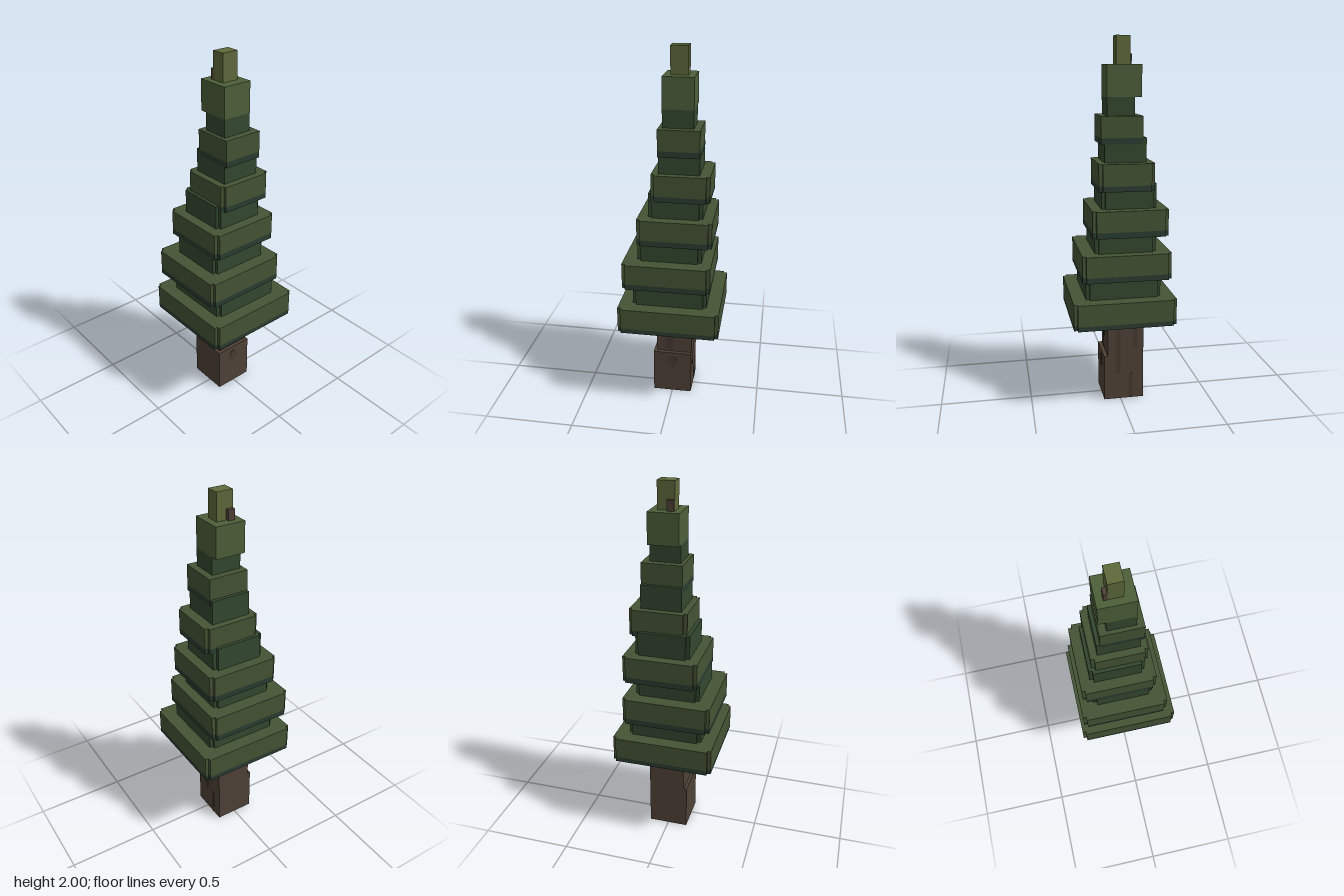
import * as THREE from 'three';

const mat = (color) => new THREE.MeshStandardMaterial({ color, flatShading: true, roughness: 1 });

export function createModel() {
  const tree = new THREE.Group();
  tree.name = 'blockyPineTree';

  const M = {
    needles: mat(0x455434), shade: mat(0x33482f), underside: mat(0x2a3c30),
    crown: mat(0x4d5f39), tip: mat(0x5e693b), bark: mat(0x4f4237), grain: mat(0x463a30),
  };

  const add = (parent, name, geometry, material) => {
    const mesh = new THREE.Mesh(geometry, material);
    mesh.name = name;
    parent.add(mesh);
    return mesh;
  };

  // Upright block given by its extents; n cuts a square notch from each corner
  const block = (parent, name, material, [x0, x1], [y0, y1], [z0, z1], n = 0) => {
    if (!n) {
      const g = new THREE.BoxGeometry(x1 - x0, y1 - y0, z1 - z0);
      g.translate((x0 + x1) / 2, (y0 + y1) / 2, (z0 + z1) / 2);
      return add(parent, name, g, material);
    }
    const b = -z1, t = -z0;
    const outline = [
      [x0 + n, b], [x1 - n, b], [x1 - n, b + n], [x1, b + n], [x1, t - n], [x1 - n, t - n],
      [x1 - n, t], [x0 + n, t], [x0 + n, t - n], [x0, t - n], [x0, b + n], [x0 + n, b + n],
    ].map(([x, y]) => new THREE.Vector2(x, y));
    const g = new THREE.ExtrudeGeometry(new THREE.Shape(outline), { depth: y1 - y0, bevelEnabled: false });
    g.rotateX(-Math.PI / 2).translate(0, y0, 0);
    return add(parent, name, g, material);
  };

  // Trunk: core with a stepped side and a wider foot
  const trunk = new THREE.Group();
  trunk.name = 'trunk';
  tree.add(trunk);
  block(trunk, 'trunkCore', M.bark, [-0.075, 0.109], [0.26, 0.486], [-0.11, 0.073]);
  block(trunk, 'trunkSide', M.bark, [-0.093, 0.11], [0.26, 0.465], [-0.13, 0.072]);
  block(trunk, 'trunkFoot', M.bark, [-0.11, 0.11], [0, 0.26], [-0.13, 0.093]);

  // Bark grain and a knot, laid just above the faces
  const e = 0.0015;
  block(trunk, 'grainFront', M.grain, [-0.04, 0], [0.27, 0.44], [0.07, 0.073 + e]);
  for (const [y0, y1, z0, z1] of [[0.15, 0.44, 0, 0.03], [0.3, 0.46, -0.095, -0.07], [0, 0.15, -0.068, -0.046]])
    block(trunk, 'grainSide', M.grain, [0.1, 0.11 + e], [y0, y1], [z0, z1]);
  const knot = add(trunk, 'knot', new THREE.CylinderGeometry(0.03, 0.03, 0.004, 8), M.grain);
  knot.rotation.x = Math.PI / 2;
  knot.scale.z = 1.25;
  knot.position.set(0, 0.2, 0.0925);

  // Branch tiers: x range, y bottom / band top / top, z range, corner notch
  const c = 0.019;
  const tiers = [
    [[-0.278, 0.278], [0.486, 0.512, 0.63], [-0.278, 0.278], c],
    [[-0.26, 0.222], [0.727, 0.758, 0.872], [-0.26, 0.222], c],
    [[-0.185, 0.222], [0.968, 1.0, 1.112], [-0.24, 0.167], c],
    [[-0.111, 0.203], [1.21, 1.24, 1.355], [-0.167, 0.13], c],
    [[-0.075, 0.147], [1.45, 1.482, 1.595], [-0.111, 0.111], 0],
  ];
  for (const [x, [y0, yb, y1], z, n] of tiers) {
    const tier = new THREE.Group();
    tier.name = 'branchTier';
    tree.add(tier);
    block(tier, 'tierUnderside', M.underside, x, [y0, yb], z, n);
    block(tier, 'tierTop', M.needles, x, [yb, y1], z, n);
  }

  // Shaded necks between the tiers
  const necks = [
    [[-0.204, 0.204], [0.63, 0.727], [-0.204, 0.204], c],
    [[-0.185, 0.166], [0.872, 0.968], [-0.185, 0.148], c],
    [[-0.13, 0.166], [1.112, 1.242], [-0.185, 0.111], c],
    [[-0.074, 0.146], [1.355, 1.483], [-0.13, 0.093], 0],
    [[-0.055, 0.11], [1.595, 1.69], [-0.073, 0.073], 0],
  ];
  for (const [x, y, z, n] of necks) block(tree, 'neck', M.shade, x, y, z, n);

  // Crown, tip and a small twig behind the tip
  block(tree, 'crown', M.crown, [-0.055, 0.11], [1.69, 1.855], [-0.111, 0.073]);
  block(tree, 'tip', M.tip, [-0.02, 0.073], [1.855, 2], [-0.056, 0.018]);
  block(tree, 'twig', M.bark, [-0.02, 0.018], [1.855, 1.91], [-0.075, -0.056]);

  return tree;
}
